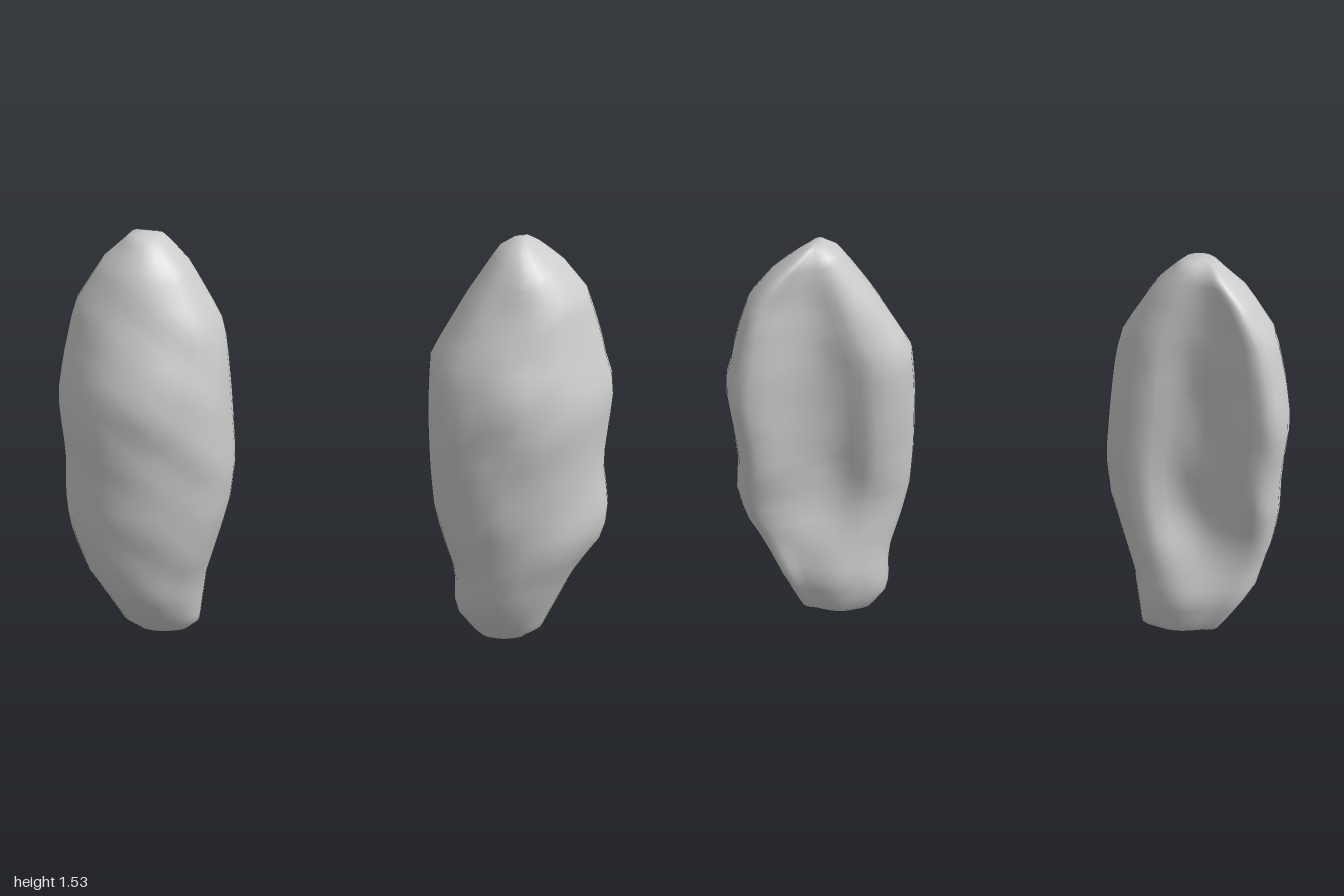
import * as THREE from 'three';

// Outlines from the front: [y, inner |x|, outer |x|]
const leftOutline = [
  [0.01, 0.55, 0.73], [0.03, 0.52, 0.78], [0.12, 0.45, 0.82], [0.28, 0.445, 0.89], [0.45, 0.39, 0.99],
  [0.57, 0.36, 1.0], [0.72, 0.345, 0.975], [0.9, 0.335, 0.99], [1.02, 0.335, 1.0], [1.12, 0.34, 0.965],
  [1.2, 0.385, 0.945], [1.34, 0.465, 0.895], [1.44, 0.53, 0.81], [1.5, 0.57, 0.73], [1.53, 0.62, 0.68],
];
const rightOutline = [
  [0.01, 0.55, 0.75], [0.03, 0.51, 0.8], [0.1, 0.5, 0.84], [0.25, 0.475, 0.93], [0.45, 0.41, 0.98],
  [0.57, 0.375, 0.99], [0.72, 0.355, 0.985], [0.95, 0.365, 1.0], [1.1, 0.375, 0.975], [1.22, 0.39, 0.945],
  [1.28, 0.42, 0.93], [1.43, 0.505, 0.83], [1.5, 0.57, 0.75], [1.53, 0.6, 0.72],
];
// Depths: [y, z of front, outer back crest, hollow, inner back edge]
const depths = [
  [0.01, 0.03, -0.06, -0.07, -0.05], [0.03, 0.05, -0.095, -0.115, -0.095], [0.1, 0.1, -0.12, -0.145, -0.12],
  [0.2, 0.15, -0.14, -0.168, -0.135], [0.35, 0.19, -0.13, -0.125, -0.115], [0.5, 0.215, -0.15, -0.07, -0.1],
  [0.62, 0.22, -0.185, -0.065, -0.11], [0.8, 0.235, -0.225, -0.085, -0.13], [0.95, 0.247, -0.245, -0.105, -0.14],
  [1.05, 0.23, -0.245, -0.12, -0.145], [1.25, 0.165, -0.245, -0.138, -0.145], [1.42, 0.11, -0.215, -0.145, -0.14],
  [1.5, 0.045, -0.17, -0.14, -0.125], [1.53, 0.0, -0.12, -0.11, -0.1],
];
const RINGS = 28, SIDES = 36;

// Linear lookup of a table row at height y
function rowAt(table, y) {
  let i = 0;
  while (i < table.length - 2 && table[i + 1][0] < y) i++;
  const a = table[i], b = table[i + 1];
  const t = THREE.MathUtils.clamp((y - a[0]) / (b[0] - a[0]), 0, 1);
  return a.map((v, k) => v + (b[k] - v) * t);
}

// Bean-shaped cross-section, as points (u from inner 0 to outer 1, z)
function section(y) {
  const [, f, c, v, e] = rowAt(depths, y);
  const mid = (f + e) / 2, h = f - mid;
  const pts = [
    [0, mid - 0.35 * h], [0.02, mid + h * 0.1], [0.1, mid + h * 0.55], [0.24, mid + h * 0.83], [0.45, f],
    [0.7, mid + h * 0.83], [0.88, mid + h * 0.36], [0.99, mid - 0.25 * h], [1, mid + (c - mid) * 0.5],
    [0.96, mid + (c - mid) * 0.83], [0.88, c], [0.77, c + (v - c) * 0.12], [0.65, c + (v - c) * 0.55],
    [0.5, v + (c - v) * 0.08], [0.36, v + (e - v) * 0.2], [0.2, e], [0.05, e + (mid - e) * 0.3],
  ].map(([u, z]) => new THREE.Vector3(u, z, 0));
  return new THREE.CatmullRomCurve3(pts, true, 'centripetal');
}

// Irregular shallow lumps, from sines in crossing directions
function lump(x, y, z, s) {
  return 0.006 * (Math.sin(x * 15 + z * 9 + s) * Math.sin(y * 14 + z * 7 + s * 2)
    + Math.sin(x * 24 - y * 9 + s * 3) * Math.sin(y * 19 + x * 5 - z * 12 + s));
}

// Closed organic lobe lofted through the sections
function lobe(name, side, outline, seed) {
  const pos = [], idx = [];
  for (let r = 0; r <= RINGS; r++) {
    // rings gather towards both ends
    const t = r / RINGS;
    const y = 0.01 + 1.52 * (0.45 * t + 0.55 * (0.5 - 0.5 * Math.cos(Math.PI * t)));
    const [, inner, outer] = rowAt(outline, y);
    const curve = section(y), fade = Math.sin(Math.PI * t);
    for (let i = 0; i < SIDES; i++) {
      const p = curve.getPoint(i / SIDES);
      const x = inner + (outer - inner) * THREE.MathUtils.clamp(p.x, 0, 1);
      pos.push(side * x, y, p.y + fade * lump(x, y, p.y, seed));
    }
  }
  const tri = (a, b, c) => (side > 0 ? idx.push(a, b, c) : idx.push(a, c, b));
  for (let r = 0; r < RINGS; r++) {
    for (let i = 0; i < SIDES; i++) {
      const j = (i + 1) % SIDES, a = r * SIDES, b = a + SIDES;
      tri(a + i, a + j, b + j);
      tri(a + i, b + j, b + i);
    }
  }
  // end caps
  for (const [ring, y, top] of [[0, 0, false], [RINGS, 1.535, true]]) {
    const start = ring * SIDES, centre = pos.length / 3;
    let cx = 0, cz = 0;
    for (let i = 0; i < SIDES; i++) {
      cx += pos[(start + i) * 3] / SIDES;
      cz += pos[(start + i) * 3 + 2] / SIDES;
    }
    pos.push(cx, y, cz);
    for (let i = 0; i < SIDES; i++) {
      const a = start + i, b = start + (i + 1) % SIDES;
      if (top) tri(a, b, centre); else tri(b, a, centre);
    }
  }
  const geo = new THREE.BufferGeometry();
  geo.setAttribute('position', new THREE.Float32BufferAttribute(pos, 3));
  geo.setIndex(idx);
  geo.computeVertexNormals();
  const mesh = new THREE.Mesh(geo, new THREE.MeshStandardMaterial({ color: 0xcccccc }));
  mesh.name = name;
  return mesh;
}

export function createModel() {
  const model = new THREE.Group();
  model.name = 'pairedLobes';
  model.add(lobe('leftLobe', 1, leftOutline, 0.6), lobe('rightLobe', -1, rightOutline, 2.3));
  return model;
}
